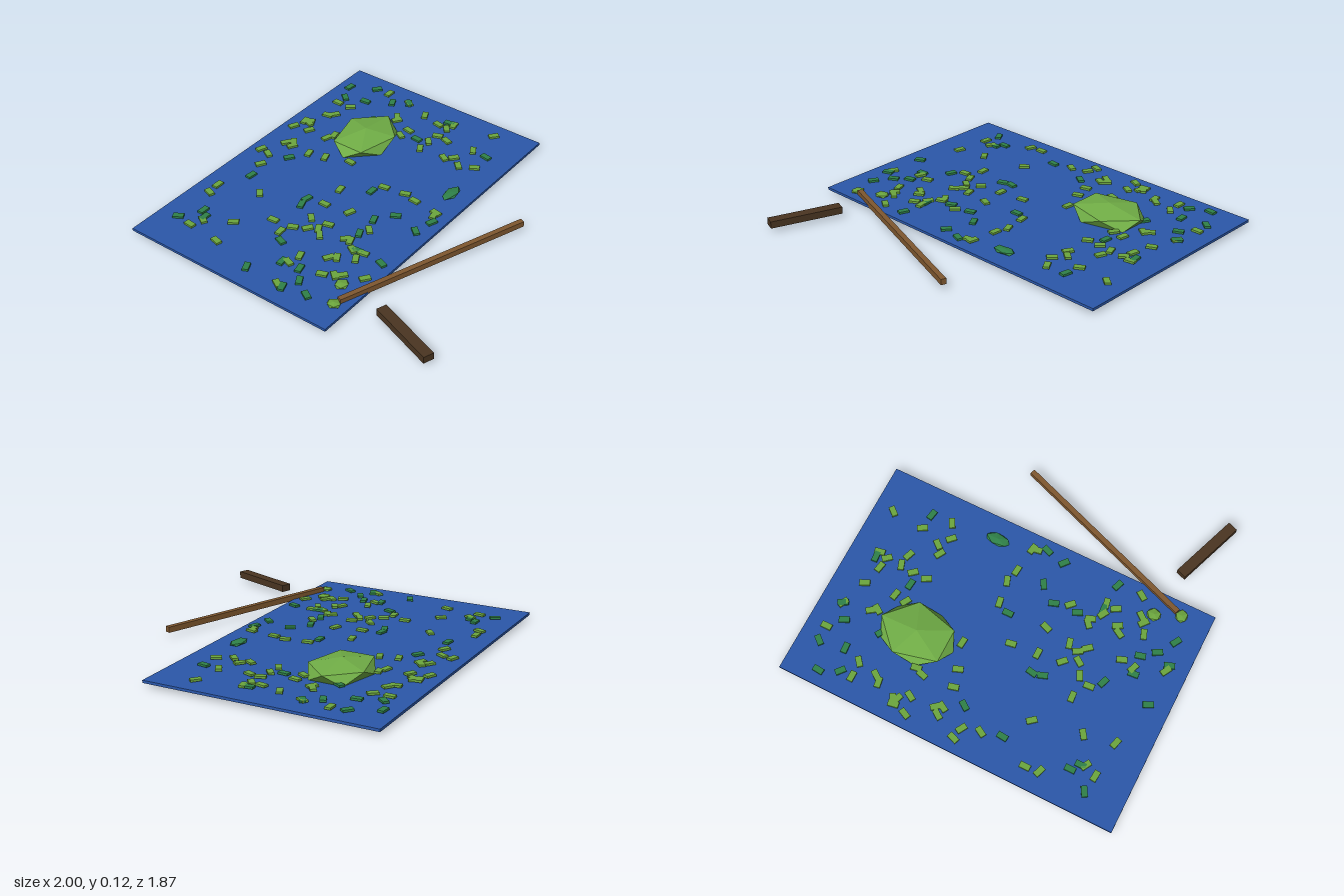
import * as THREE from 'three';

const mat = (name, color) => {
  const m = new THREE.MeshStandardMaterial({ color, flatShading: true });
  m.name = name;
  return m;
};

// leaf layouts: x, z, turn in degrees
const DARK_LEAVES = [
  -0.78, -0.81, -60, -0.66, -0.735, 0, -0.7, -0.69, 0, -0.26, -0.74, -5, 0, -0.68, -35,
  0.69, -0.81, 50, 0.8, -0.86, -5, 0.73, -0.685, -85, 0.88, -0.71, -40, 0.815, -0.545, 25,
  0.87, -0.46, 30, 0.6, -0.52, 60, -0.3, -0.34, 20, -0.24, -0.35, -10, -0.88, -0.23, 25,
  -0.61, -0.225, 70, -0.735, -0.11, 5, 0.03, -0.105, 0, 0.59, -0.2, 85, 0.84, -0.14, -85,
  -0.89, 0.02, 20, -0.8, 0.06, 30, -0.725, 0, 15, -0.865, 0.16, 60, -0.31, 0.07, 25,
  -0.17, 0.06, 20, -0.07, 0.135, -60, -0.43, 0.15, -85, -0.44, 0.315, 70, -0.115, 0.3, 50,
  0, 0.325, -20, 0.68, 0.225, 80,
];
const LIGHT_LEAVES_RIGHT = [
  -0.52, -0.82, 70, -0.44, -0.83, 0, -0.795, -0.71, 85, -0.725, -0.68, 60, -0.36, -0.59, 40,
  -0.64, -0.535, -55, -0.815, -0.5, 75, -0.145, -0.77, -30, -0.495, -0.375, -85, -0.55, -0.28, 5,
  -0.48, -0.25, -65, -0.22, -0.24, 90, -0.065, -0.255, 10, -0.36, -0.22, 45, -0.44, -0.18, -35,
  -0.41, -0.13, 30, -0.45, -0.09, 40, -0.35, -0.11, -75, -0.195, -0.085, -20, -0.645, -0.065, 20,
  -0.72, -0.08, 70, -0.885, -0.015, 60, -0.39, 0.04, -50, -0.39, 0.07, 20, -0.565, 0.065, -30,
  -0.54, 0.1, 30, -0.69, 0.12, -70, -0.66, 0.18, 50, -0.635, 0.21, -40, -0.49, 0.185, 30,
  -0.44, 0.125, 60, -0.43, 0.19, -80, -0.255, 0.095, 45, -0.585, 0.32, -35,
];
const LIGHT_LEAVES_LEFT = [
  -0.03, -0.865, -20, -0.045, -0.8, 60, 0.105, -0.79, -35, 0.135, -0.755, 40, 0.1, -0.74, -30,
  0.265, -0.865, -25, 0.345, -0.845, 10, 0.34, -0.81, 70, 0.36, -0.82, -60, 0.285, -0.765, -30,
  0.475, -0.775, -80, 0.505, -0.745, -35, 0.62, -0.81, 90, 0.625, -0.72, -50, 0.1, -0.615, 15,
  0.125, -0.515, 20, 0.285, -0.63, -15, 0.33, -0.61, 10, 0.885, -0.62, 0, 0.87, -0.46, 60,
  0.175, -0.37, 85, 0.68, -0.41, -35, 0.71, -0.43, 35, 0.82, -0.305, 25, 0.565, -0.3, 60,
  0.635, -0.29, 80, 0.1, -0.07, -80, 0.525, -0.13, 30, 0.61, -0.13, 40, 0.69, -0.12, -70,
  0.79, -0.185, 80, 0.78, -0.12, 40, 0.835, -0.105, 10, 0.68, -0.05, 70, 0.53, 0.035, 60,
  0.565, 0.08, -40, 0.515, 0.145, 45, 0.555, 0.23, -60, 0.69, 0.13, 30, 0.885, 0.145, -40,
  0.12, 0.06, -70, 0.1, 0.14, 85, 0.055, 0.3, 10, 0.08, 0.295, 80,
];

export function createModel() {
  const group = new THREE.Group();
  const blue = mat('tarpBlue', 0x2b58aa);
  const lightGreen = mat('leafGreen', 0x6ca63e);
  const pileGreen = mat('pileGreen', 0x70ad46);
  const darkGreen = mat('darkLeafGreen', 0x2f8148);
  const brown = mat('handleBrown', 0x80582f);
  const darkBrown = mat('headBrown', 0x4a3521);

  const add = (name, geometry, material, x, y, z, parent = group) => {
    const mesh = new THREE.Mesh(geometry, material);
    mesh.name = name;
    mesh.position.set(x, y, z);
    parent.add(mesh);
    return mesh;
  };

  // tarp
  add('tarp', new THREE.BoxGeometry(2, 0.015, 1.33), blue, 0, 0.0285, -0.275);

  // faceted heaps: an icosahedron standing on a corner, then flattened
  const heapGeometry = new THREE.IcosahedronGeometry(1, 0);
  heapGeometry.rotateZ(-Math.atan(2 / (1 + Math.sqrt(5))));
  const heap = (name, material, x, y, z, rx, ry, rz) =>
    add(name, heapGeometry, material, x, y, z).scale.set(rx, ry, rz);
  heap('leafPile', pileGreen, 0.415, 0.06, -0.44, 0.246, 0.06, 0.188);
  heap('darkClump', darkGreen, 0.28, 0.043, 0.26, 0.078, 0.012, 0.04);
  heap('lightClump', lightGreen, -0.69, 0.043, 0.25, 0.045, 0.012, 0.04);
  heap('lightClump', lightGreen, -0.83, 0.043, 0.31, 0.038, 0.012, 0.042);

  // scattered leaves
  const leafGeometry = new THREE.BoxGeometry(0.06, 0.012, 0.034);
  const scatter = (name, layout, material) => {
    const leaves = new THREE.Group();
    leaves.name = name;
    for (let i = 0; i < layout.length; i += 3) {
      const leaf = add('leaf', leafGeometry, material, layout[i], 0.046, layout[i + 1], leaves);
      leaf.rotation.y = THREE.MathUtils.degToRad(layout[i + 2]);
    }
    group.add(leaves);
  };
  scatter('darkLeaves', DARK_LEAVES, darkGreen);
  scatter('lightLeavesRight', LIGHT_LEAVES_RIGHT, lightGreen);
  scatter('lightLeavesLeft', LIGHT_LEAVES_LEFT, lightGreen);

  // rake handle and its loose head, lying on the ground
  const bar = (name, material, x1, z1, x2, z2, width, height, y) => {
    const length = Math.hypot(x2 - x1, z2 - z1);
    const mesh = add(name, new THREE.BoxGeometry(length, height, width), material,
      (x1 + x2) / 2, y, (z1 + z2) / 2);
    mesh.rotation.y = -Math.atan2(z2 - z1, x2 - x1);
  };
  bar('rakeHandle', brown, -0.8, 0.32, 0.292, 0.717, 0.03, 0.033, 0.045);
  bar('rakeHead', darkBrown, -0.725, 0.53, -0.866, 0.92, 0.06, 0.04, 0.045);

  return group;
}
